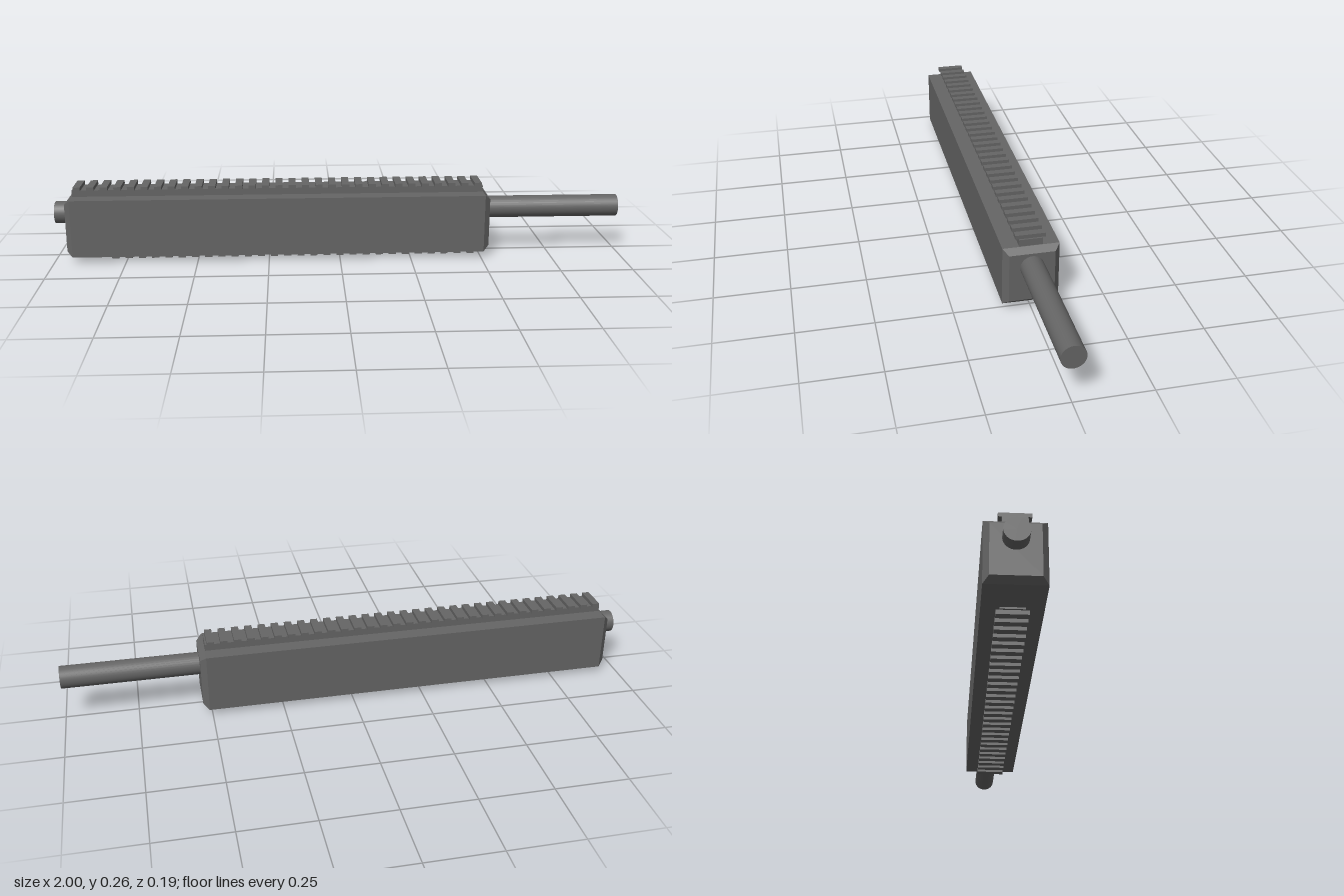
import * as THREE from 'three';

export function createModel() {
  const group = new THREE.Group();
  const metal = new THREE.MeshStandardMaterial({ color: 0x656565 });
  metal.name = 'dark grey metal';

  const add = (name, geometry, x, y, z = 0, parent = group) => {
    const mesh = new THREE.Mesh(geometry, metal);
    mesh.name = name;
    mesh.position.set(x, y, z);
    parent.add(mesh);
    return mesh;
  };

  // Housing: rectangular block with both ends chamfered
  const chamfer = 0.018, depth = 0.02;
  const length = 1.485, height = 0.205, width = 0.185;
  const w = width / 2 - chamfer, h = height / 2 - chamfer;
  const section = new THREE.Shape([
    new THREE.Vector2(-w, -h), new THREE.Vector2(w, -h),
    new THREE.Vector2(w, h), new THREE.Vector2(-w, h),
  ]);
  const housing = new THREE.ExtrudeGeometry(section, {
    depth: length - 2 * depth, bevelEnabled: true,
    bevelSize: chamfer, bevelThickness: depth, bevelSegments: 1,
  });
  housing.translate(0, 0, depth - length / 2).rotateY(Math.PI / 2);
  add('housing', housing, -0.2125, 0.1225);

  // Round rod running through the housing
  const rod = new THREE.CylinderGeometry(0.039, 0.039, 2, 32);
  rod.rotateZ(Math.PI / 2);
  add('rod', rod, 0, 0.159);

  // Toothed rails: a narrow base carrying evenly spaced crossbars
  const pitch = 0.0468, toothLength = 0.025;
  const addRail = (name, count, startX, baseLow, baseHigh, toothLow, toothHigh) => {
    const rail = new THREE.Group();
    rail.name = name;
    group.add(rail);
    const span = (count - 1) * pitch + toothLength;
    add('railBase', new THREE.BoxGeometry(span + 0.012, baseHigh - baseLow, 0.076),
      startX + span / 2, (baseLow + baseHigh) / 2, 0, rail);
    const tooth = new THREE.BoxGeometry(toothLength, toothHigh - toothLow, 0.098);
    for (let i = 0; i < count; i++) {
      add('railTooth', tooth, startX + toothLength / 2 + i * pitch,
        (toothLow + toothHigh) / 2, 0, rail);
    }
  };
  addRail('topRail', 31, -0.927, 0.22, 0.248, 0.248, 0.261);
  addRail('bottomRail', 28, -0.806, 0.014, 0.025, 0, 0.014);

  return group;
}
